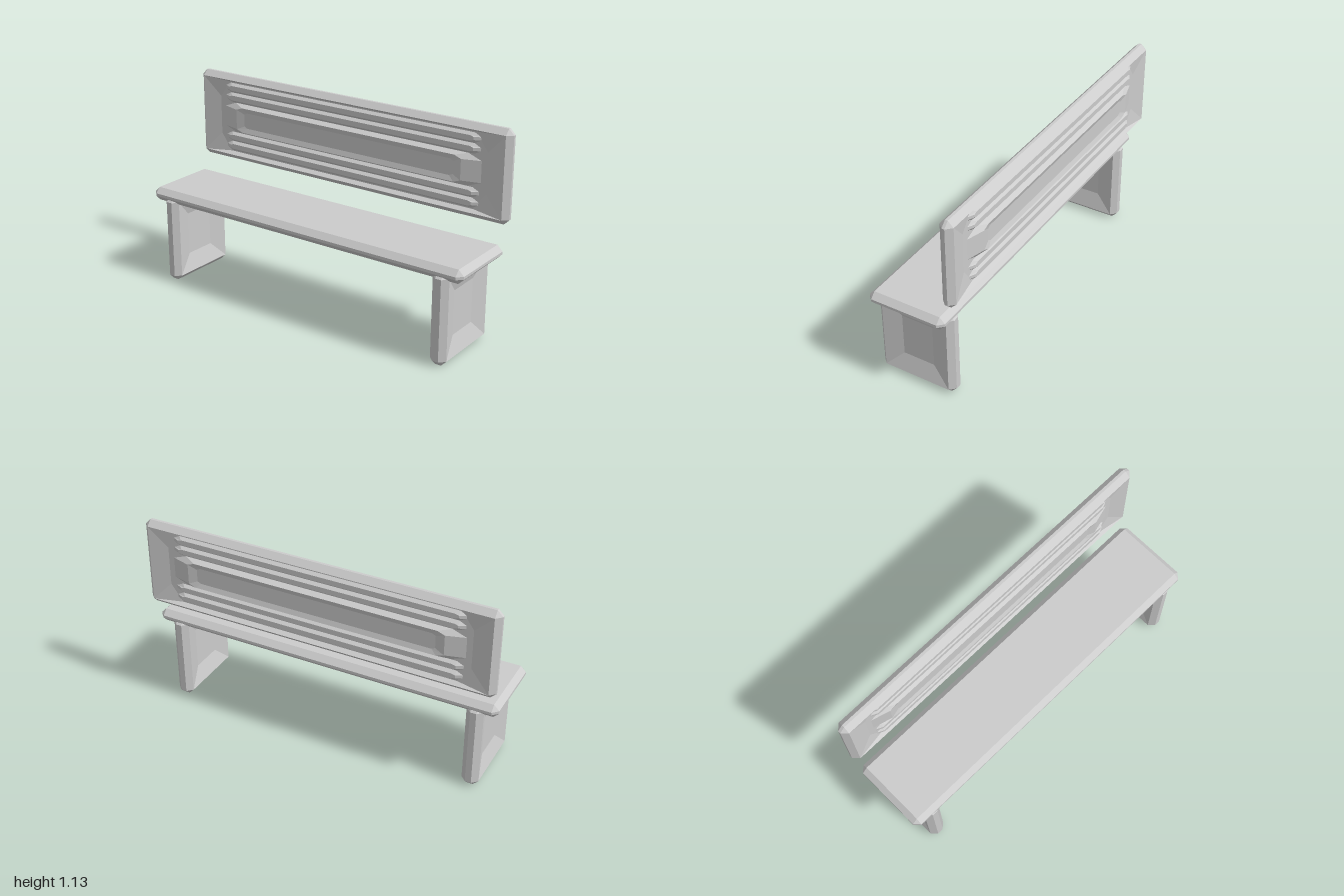
import * as THREE from 'three';

// Octagonal ring: half extents a, b with corners cut by cx, cy, at height h
function ring([a, b, cx, cy, h]) {
  return [
    [a, -b + cy], [a, b - cy], [a - cx, b], [-a + cx, b],
    [-a, b - cy], [-a, -b + cy], [-a + cx, -b], [a - cx, -b],
  ].map(([x, y]) => [x, y, h]);
}

// Solid plate, mirrored front to back, lofted through rings from the rim inwards
function plateGeometry(rings) {
  const pos = [];
  const tri = (p, q, r) => {
    pos.push(...p, ...q, ...r);
  };
  const back = ([x, y, z]) => [x, y, -z];
  const both = (p, q, r) => {
    tri(p, q, r);
    tri(back(r), back(q), back(p));
  };
  const loops = rings.map(ring);
  const outer = loops[0];
  const inner = loops[loops.length - 1];
  const centre = [0, 0, rings[rings.length - 1][4]];
  for (let i = 0; i < 8; i++) {
    const j = (i + 1) % 8;
    // outer edge band
    tri(outer[i], back(outer[i]), back(outer[j]));
    tri(outer[i], back(outer[j]), outer[j]);
    // steps between rings
    for (let k = 0; k + 1 < loops.length; k++) {
      both(loops[k][i], loops[k][j], loops[k + 1][j]);
      both(loops[k][i], loops[k + 1][j], loops[k + 1][i]);
    }
    both(inner[i], inner[j], centre);
  }
  const geo = new THREE.BufferGeometry();
  geo.setAttribute('position', new THREE.Float32BufferAttribute(pos, 3));
  geo.computeVertexNormals();
  return geo;
}

// Chamfered rim shared by the seat, legs and backrest
const BEVEL = 0.03;
const rim = (a, b, h) => [
  [a, b, BEVEL, BEVEL, h - BEVEL],
  [a - BEVEL, b - BEVEL, 0, 0, h],
];

export function createModel() {
  const group = new THREE.Group();
  const stone = new THREE.MeshStandardMaterial({ color: 0xcccccc });
  stone.name = 'paleGrey';

  const add = (name, geo, x, y, z) => {
    const mesh = new THREE.Mesh(geo, stone);
    mesh.name = name;
    mesh.position.set(x, y, z);
    group.add(mesh);
  };

  // Seat slab
  add('seat', plateGeometry(rim(1, 0.22, 0.0375)).rotateX(-Math.PI / 2), 0, 0.502, 0.04);

  // Slab legs with a sunken panel on both faces
  const leg = plateGeometry([...rim(0.22, 0.252, 0.047), [0.09, 0.122, 0, 0, 0.02]]).rotateY(Math.PI / 2);
  add('leftLeg', leg, 0.875, 0.252, 0.04);
  add('rightLeg', leg, -0.875, 0.252, 0.04);

  // Backrest frame with a sunken field
  const backY = 0.88;
  const backZ = -0.2125;
  add('backrestFrame', plateGeometry([
    ...rim(1, 0.25, 0.0375),
    [0.865, 0.205, 0.07, 0.095, 0.014],
  ]), 0, backY, backZ);

  // Wide middle slat with a shallow dished face
  add('middleSlat', plateGeometry([
    [0.84, 0.088, 0.08, 0.03, 0.012],
    [0.73, 0.072, 0.04, 0.015, 0.043],
    [0.68, 0.045, 0.02, 0.01, 0.034],
  ]), 0, backY, backZ);

  // Pairs of narrow slats above and below
  const narrowSlat = plateGeometry([
    [0.83, 0.029, 0.04, 0.02, 0.012],
    [0.79, 0.014, 0.02, 0.006, 0.031],
  ]);
  for (const side of [1, -1]) {
    const label = side > 0 ? 'upper' : 'lower';
    add(label + 'InnerSlat', narrowSlat, 0, backY + side * 0.116, backZ);
    add(label + 'OuterSlat', narrowSlat, 0, backY + side * 0.172, backZ);
  }

  return group;
}
